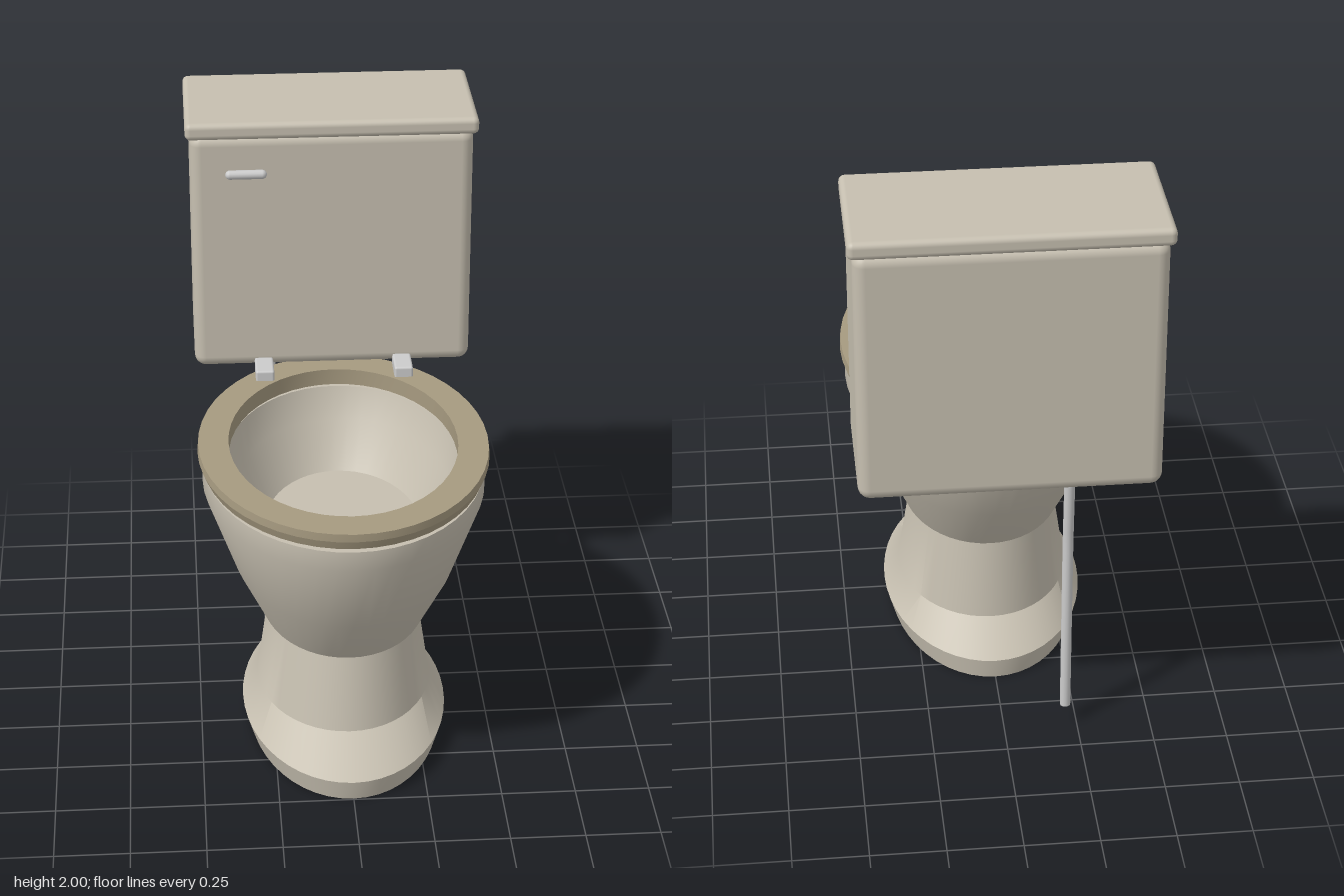
import * as THREE from 'three';
import { toCreasedNormals } from 'three/addons/utils/BufferGeometryUtils.js';
import { RoundedBoxGeometry } from 'three/addons/geometries/RoundedBoxGeometry.js';

const porcelain = new THREE.MeshStandardMaterial({ color: 0xc6bfb0 });
const seatMaterial = new THREE.MeshStandardMaterial({ color: 0xa69a80 });
const metal = new THREE.MeshStandardMaterial({ color: 0xcccccc });

// Skins a stack of ellipses, each given as [y, half width, back z, front z].
// Rings run bottom to top on the outside, then down on the inside.
function loft(rings, crease = 0.6, sides = 48) {
  const positions = [], uvs = [], index = [];
  rings.forEach(([y, rx, back, front], j) => {
    for (let i = 0; i < sides; i++) {
      const a = (i / sides) * Math.PI * 2;
      positions.push(rx * Math.cos(a), y, (back + front) / 2 + ((front - back) / 2) * Math.sin(a));
      uvs.push(i / sides, j / (rings.length - 1));
    }
  });
  for (let j = 0; j < rings.length - 1; j++) {
    for (let i = 0; i < sides; i++) {
      const n = (i + 1) % sides;
      const a = j * sides + i, b = j * sides + n, c = a + sides, d = b + sides;
      if (rings[j][1] > 0) index.push(a, c, b);
      if (rings[j + 1][1] > 0) index.push(b, c, d);
    }
  }
  const geometry = new THREE.BufferGeometry();
  geometry.setAttribute('position', new THREE.Float32BufferAttribute(positions, 3));
  geometry.setAttribute('uv', new THREE.Float32BufferAttribute(uvs, 2));
  geometry.setIndex(index);
  return toCreasedNormals(geometry, crease);
}

export function createModel() {
  const group = new THREE.Group();
  const add = (name, geometry, material, x = 0, y = 0, z = 0) => {
    const mesh = new THREE.Mesh(geometry, material);
    mesh.name = name;
    mesh.position.set(x, y, z);
    group.add(mesh);
    return mesh;
  };

  // Flared foot and tapering neck
  add('pedestal', loft([
    [0, 0, 0.2, 0.2],
    [0, 0.33, -0.34, 0.745],
    [0.075, 0.353, -0.35, 0.76],
    [0.16, 0.3, -0.2, 0.58],
    [0.46, 0.255, -0.165, 0.51],
  ]), porcelain);

  // Bowl: outer wall, rim, inner wall and floor
  add('bowl', loft([
    [0.45, 0, 0.2, 0.2],
    [0.45, 0.278, -0.17, 0.57],
    [0.66, 0.375, -0.31, 0.715],
    [0.94, 0.475, -0.43, 0.825],
    [1.01, 0.473, -0.43, 0.825],
    [1.01, 0.392, -0.33, 0.72],
    [0.9, 0.36, -0.29, 0.68],
    [0.75, 0.265, -0.18, 0.565],
    [0.75, 0, 0.19, 0.19],
  ]), porcelain);

  // Seat ring with a bevelled outer edge
  add('seat', loft([
    [1.02, 0.385, -0.325, 0.713],
    [1.02, 0.478, -0.43, 0.82],
    [1.05, 0.49, -0.44, 0.83],
    [1.078, 0.487, -0.437, 0.83],
    [1.078, 0.385, -0.325, 0.713],
    [1.02, 0.385, -0.325, 0.713],
  ], 0.3), seatMaterial);

  // Hinge blocks at the back of the seat
  for (const side of [-1, 1]) {
    add(side > 0 ? 'leftHinge' : 'rightHinge',
      new RoundedBoxGeometry(0.065, 0.05, 0.115, 2, 0.008), metal, side * 0.243, 1.09, -0.308);
  }

  // Cistern and its overhanging lid
  add('tank', new RoundedBoxGeometry(0.97, 0.875, 0.455, 3, 0.04), porcelain, 0, 1.5125, -0.5975);
  add('tankLid', new RoundedBoxGeometry(1, 0.06, 0.485, 3, 0.02), porcelain, 0, 1.97, -0.5925);

  // Flush lever on the tank front
  const lever = add('flushLever', new THREE.CapsuleGeometry(0.016, 0.11, 4, 12), metal, -0.295, 1.82, -0.342);
  lever.rotation.z = Math.PI / 2;

  // Water supply pipe: bent tube with closed ends
  const points = [[0.08, -0.622], [0.7, -0.622], [0.76, -0.623], [0.82, -0.627], [1.09, -0.645]]
    .map(([y, z]) => new THREE.Vector3(-0.21, y, z));
  const path = new THREE.CatmullRomCurve3(points, false, 'centripetal');
  add('supplyPipe', new THREE.TubeGeometry(path, 24, 0.018, 12), metal);
  const cap = add('supplyPipeEnd', new THREE.CircleGeometry(0.018, 12), metal, -0.21, 0.08, -0.622);
  cap.rotation.x = Math.PI / 2;

  return group;
}
